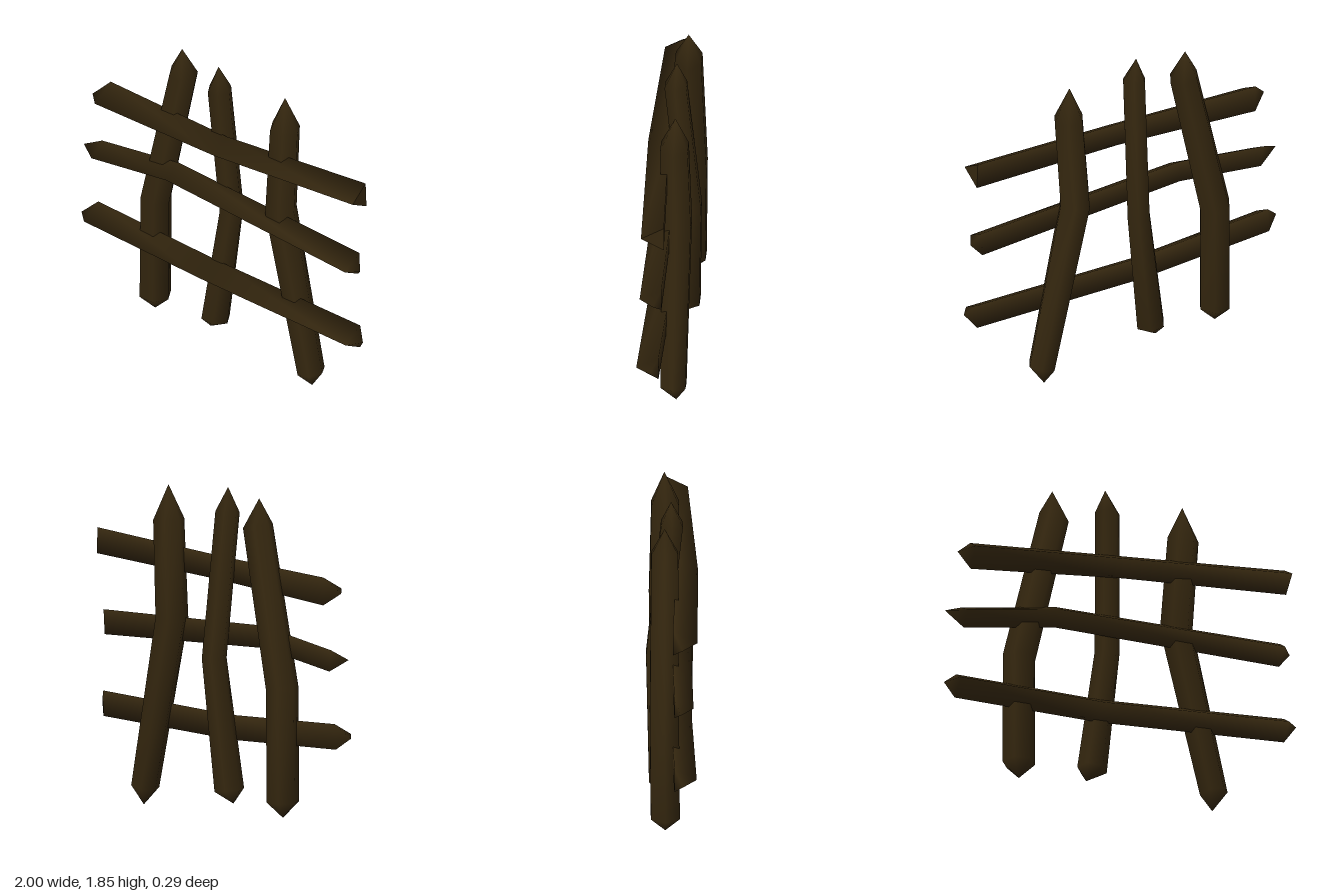
import * as THREE from 'three';

const wood = new THREE.MeshStandardMaterial({ color: 0x35270f });
wood.name = 'dark brown wood';

// Bent stake: rings [x, y, z, radius] along a path, closed by a point at each end.
// A missing end point gives a flat sawn end.
function stake(name, sides, turn, startTip, rings, endTip) {
  const pos = [], idx = [];
  const add = (v) => pos.push(v.x, v.y, v.z) / 3 - 1;
  const centres = rings.map((r) => new THREE.Vector3(r[0], r[1], r[2]));
  const loops = rings.map((r, i) => {
    const t = centres[Math.min(i + 1, rings.length - 1)].clone()
      .sub(centres[Math.max(i - 1, 0)]).normalize();
    const front = new THREE.Vector3(0, 0, 1).addScaledVector(t, -t.z).normalize();
    const across = t.clone().cross(front);
    return Array.from({ length: sides }, (_, k) => {
      const a = turn + (k / sides) * Math.PI * 2;
      return centres[i].clone()
        .addScaledVector(front, Math.cos(a) * r[3])
        .addScaledVector(across, Math.sin(a) * r[3]);
    });
  });

  // Body
  const ids = loops.map((loop) => loop.map(add));
  for (let i = 0; i < ids.length - 1; i++) {
    for (let k = 0; k < sides; k++) {
      const n = (k + 1) % sides;
      const a = ids[i][k], b = ids[i][n], c = ids[i + 1][n], d = ids[i + 1][k];
      idx.push(a, b, c, a, c, d);
    }
  }

  // Ends
  const close = (i, tip, flip) => {
    const rim = tip ? ids[i] : loops[i].map(add);
    const apex = add(tip ? new THREE.Vector3(...tip) : centres[i]);
    for (let k = 0; k < sides; k++) {
      const n = (k + 1) % sides;
      if (flip) idx.push(rim[n], rim[k], apex);
      else idx.push(rim[k], rim[n], apex);
    }
  };
  close(0, startTip, true);
  close(rings.length - 1, endTip, false);

  const geo = new THREE.BufferGeometry();
  geo.setAttribute('position', new THREE.Float32BufferAttribute(pos, 3));
  geo.setIndex(idx);
  geo.computeVertexNormals();
  const mesh = new THREE.Mesh(geo, wood);
  mesh.name = name;
  return mesh;
}

export function createModel() {
  const group = new THREE.Group();
  group.name = 'fence';

  // Upright posts, six-sided, from the ground up
  const post = (name, ...path) => group.add(stake(name, 6, Math.PI / 6, ...path));
  post('rightPost', [-0.55, 0.07, -0.04],
    [[-0.55, 0.16, -0.04, 0.092], [-0.548, 0.8, -0.045, 0.092], [-0.35, 1.675, -0.04, 0.085]],
    [-0.36, 1.83, -0.04]);
  post('middlePost', [-0.165, 0.1, -0.05],
    [[-0.132, 0.172, -0.05, 0.084], [-0.04, 0.9, -0.077, 0.07], [-0.06, 1.71, 0.005, 0.069]],
    [-0.07, 1.85, 0]);
  post('leftPost', [0.55, 0, -0.05],
    [[0.555, 0.1, -0.035, 0.08], [0.342, 1.07, -0.035, 0.093], [0.378, 1.615, -0.025, 0.088]],
    [0.375, 1.81, -0.03]);

  // Rails, three-sided with one edge to the front, from -x to +x
  const rail = (name, turn, ...path) => group.add(stake(name, 3, turn, ...path));
  rail('bottomRail', 0, [-0.998, 0.56, 0.05],
    [[-0.92, 0.566, 0.045, 0.082], [-0.1, 0.512, 0.035, 0.08], [0.94, 0.505, 0.055, 0.082]],
    [0.998, 0.51, 0.06]);
  rail('middleRail', 0, [-0.99, 1, 0.04],
    [[-0.88, 0.985, 0.04, 0.07], [-0.35, 1.05, 0.035, 0.072], [0.92, 0.965, 0.04, 0.08]],
    [0.965, 0.95, 0.045]);
  rail('topRail', 0, [-0.92, 1.36, 0.05],
    [[-0.835, 1.368, 0.042, 0.09], [0.02, 1.38, 0.073, 0.077], [0.96, 1.418, 0.025, 0.084]],
    null);

  return group;
}
